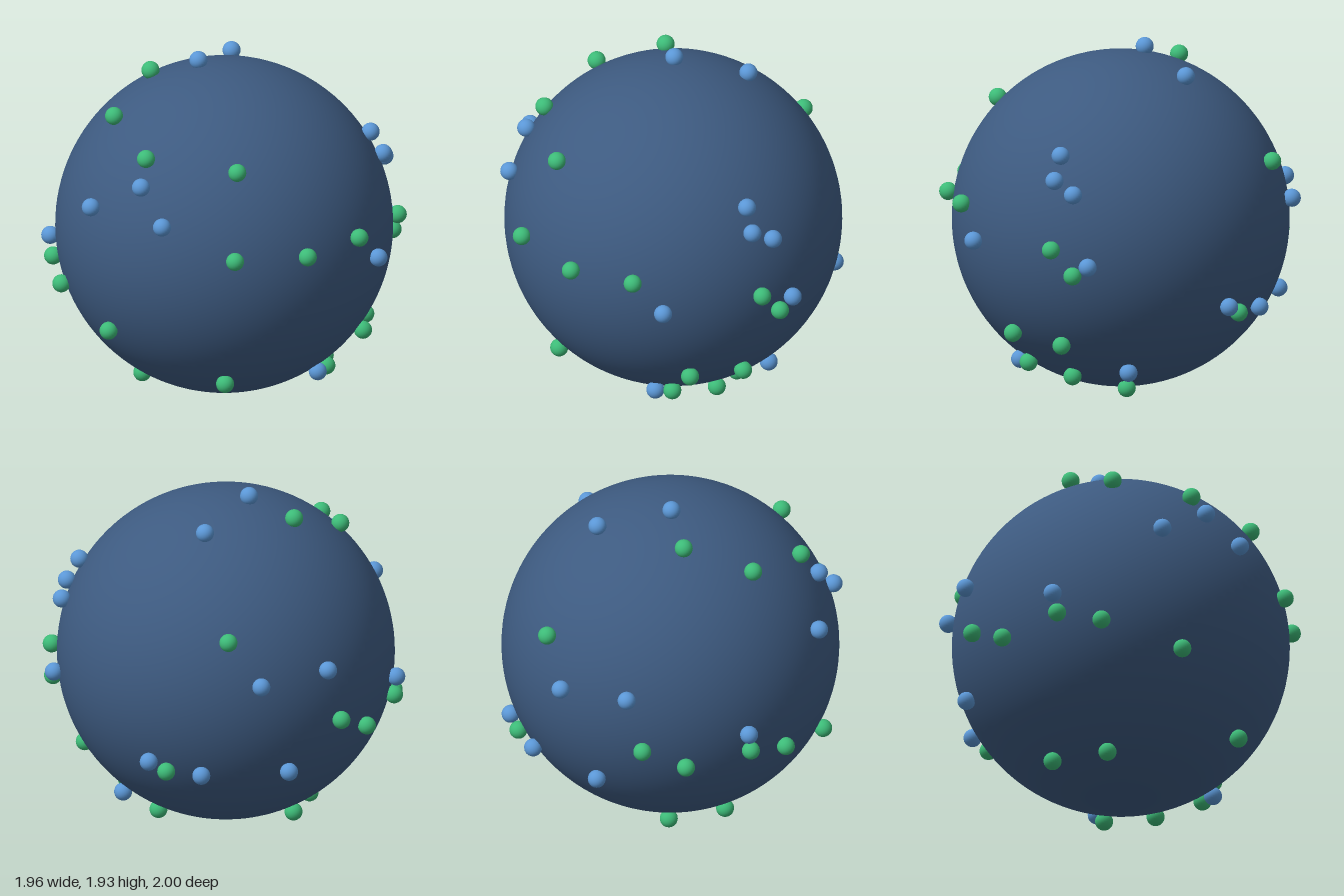
import * as THREE from 'three';

const CENTRE = new THREE.Vector3(-0.025, 0.938, -0.002);
const BODY_RADIUS = 0.933;
const SHELL_RADIUS = 0.964; // distance of each bead from the globe centre
const BEAD_RADIUS = 0.05;

// Bead positions, snapped onto the shell when placed
const GREEN_BEADS = [
  // upper half
  [-0.325, 1.80, -0.31], [-0.655, 1.665, -0.11], [-0.675, 1.57, 0.325], [-0.295, 1.55, 0.69],
  [-0.40, 1.105, 0.87], [0.01, 1.085, 0.95], [0.375, 1.10, 0.86], [0.22, 1.325, -0.855],
  // around the middle
  [0.875, 0.955, 0.34], [0.905, 0.815, 0.22], [-0.935, 0.68, -0.20], [-0.87, 0.555, 0.255],
  [-0.43, 0.80, -0.87], [-0.625, 0.69, -0.725], [-0.865, 0.745, -0.44], [0.525, 0.535, -0.68],
  // lower half
  [0.545, 0.41, 0.565], [0.70, 0.375, 0.29], [-0.335, 0.27, 0.62], [-0.47, 0.095, -0.12],
  [0.36, 0.20, 0.49], [0.475, 0.15, 0.24], [0.38, 0.065, -0.055], [-0.29, 0.11, -0.405],
];
const BLUE_BEADS = [
  // upper half
  [-0.12, 1.89, -0.13], [0.21, 1.80, -0.375], [-0.745, 1.44, 0.40], [-0.925, 1.26, 0.14],
  [-0.71, 1.265, 0.59], [0.735, 1.46, 0.295], [0.795, 1.33, 0.325], [0.86, 1.265, 0.22],
  [0.06, 1.08, -0.955], [-0.345, 1.115, -0.90],
  // lower half
  [0.53, 0.925, 0.785], [0.93, 0.87, 0.135], [-0.87, 0.86, -0.465], [0.61, 0.585, -0.63],
  [0.355, 0.53, -0.785], [-0.125, 0.53, -0.865], [0.28, 0.20, 0.54], [0.59, 0.20, -0.075],
];

function addBeads(parent, name, positions, geometry, material) {
  const set = new THREE.Group();
  set.name = name + 's';
  for (const p of positions) {
    const bead = new THREE.Mesh(geometry, material);
    bead.name = name;
    bead.position.set(...p).sub(CENTRE).setLength(SHELL_RADIUS).add(CENTRE);
    set.add(bead);
  }
  parent.add(set);
}

function flat(name, color) {
  const material = new THREE.MeshStandardMaterial({ color });
  material.name = name;
  return material;
}

export function createModel() {
  const model = new THREE.Group();
  model.name = 'beadedGlobe';

  // Large smooth globe
  const globe = new THREE.Mesh(
    new THREE.SphereGeometry(BODY_RADIUS, 96, 64), flat('slate blue', 0x3d5a80));
  globe.name = 'globe';
  globe.position.copy(CENTRE);
  model.add(globe);

  // Small beads half sunk into its surface
  const beadGeometry = new THREE.SphereGeometry(BEAD_RADIUS, 24, 16);
  addBeads(model, 'greenBead', GREEN_BEADS, beadGeometry, flat('green', 0x3dbb78));
  addBeads(model, 'blueBead', BLUE_BEADS, beadGeometry, flat('light blue', 0x5b97d6));

  return model;
}
